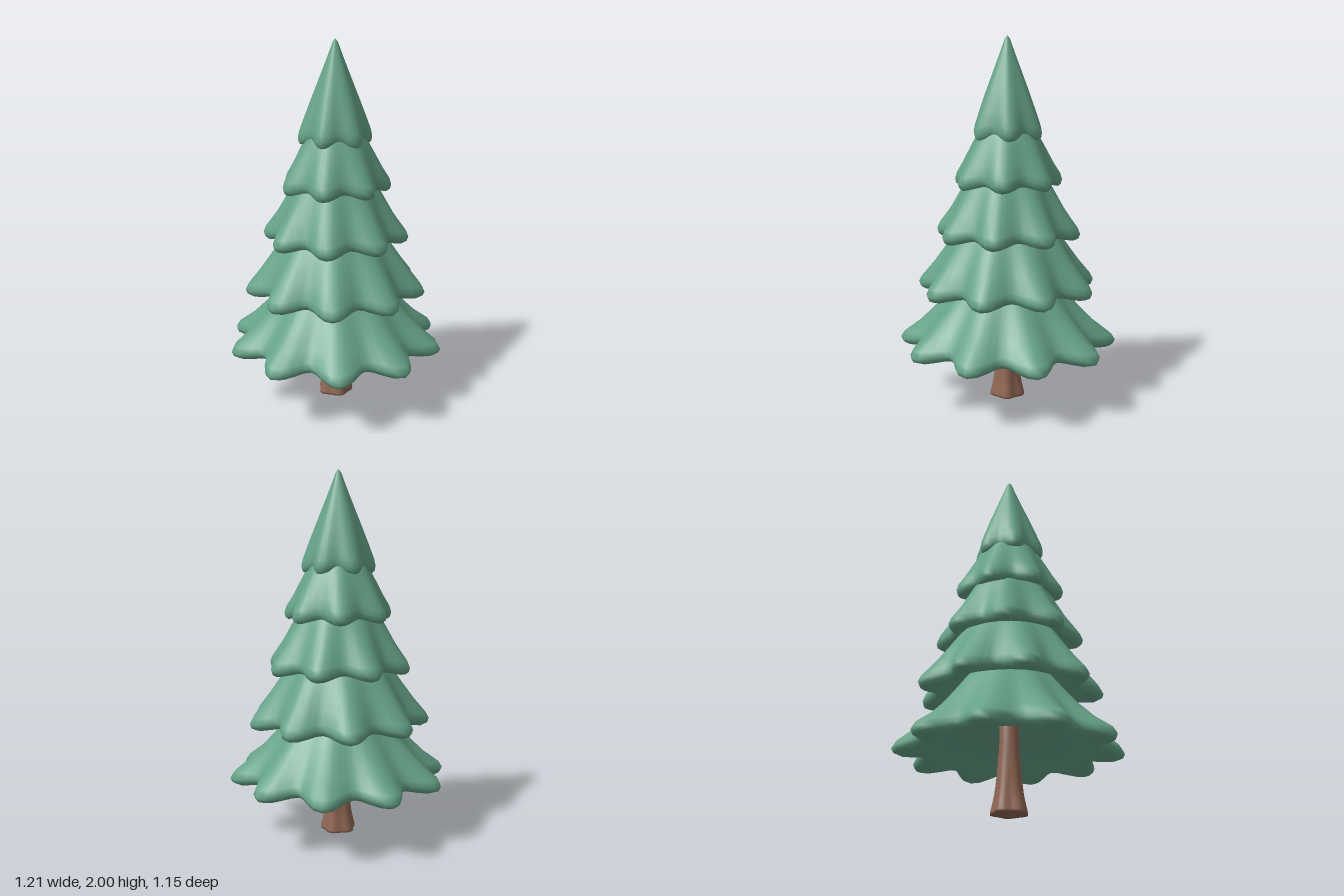
import * as THREE from 'three';
import { mergeVertices } from 'three/addons/utils/BufferGeometryUtils.js';

// Lathe whose radius swells into lobes; profile points are [ridge radius, y, lobe amplitude, tip drop]
function flutedLathe(profile, lobes, phase = 0) {
  const segments = lobes * 8;
  const lathe = new THREE.LatheGeometry(profile.map(([r, y]) => new THREE.Vector2(r, y)), segments);
  const pos = lathe.attributes.position;
  for (let i = 0; i < pos.count; i++) {
    const [, , amp, drop] = profile[i % profile.length];
    const x = pos.getX(i), z = pos.getZ(i);
    const wave = Math.cos(lobes * (Math.atan2(z, x) - phase));
    const k = (1 + amp * wave) / (1 + amp);
    pos.setXYZ(i, x * k, pos.getY(i) - drop * wave, z * k);
  }
  // Weld the seam so the shading is smooth all round
  lathe.deleteAttribute('uv');
  lathe.deleteAttribute('normal');
  const geometry = mergeVertices(lathe, 1e-5);
  geometry.computeVertexNormals();
  return geometry;
}

// Broad underside and rounded rim shared by every tier: [fraction of radius, height above rim, amplitude, drop]
const RIM = [
  [0.11, 0.12, 0, 0], [0.4, 0.085, 0.01, 0], [0.6, 0.04, 0.02, 0], [0.71, 0, 0.04, 0.004],
  [0.79, -0.022, 0.06, 0.009], [0.87, -0.03, 0.085, 0.012], [0.93, -0.03, 0.105, 0.014],
  [0.98, -0.018, 0.112, 0.014], [1, 0.004, 0.112, 0.012], [0.965, 0.036, 0.104, 0.009],
];

// Tiers from the ground up, each with its own upper slope as [ridge radius, y]
const TIERS = [
  { radius: 0.606, y: 0.335, lobes: 10, slope: [[0.49, 0.435], [0.39, 0.532], [0.315, 0.62], [0.22, 0.74], [0.05, 0.92]] },
  { radius: 0.503, y: 0.652, lobes: 9, slope: [[0.415, 0.765], [0.338, 0.868], [0.28, 0.95], [0.19, 1.07], [0.05, 1.22]] },
  { radius: 0.403, y: 0.952, lobes: 8, slope: [[0.32, 1.075], [0.26, 1.175], [0.215, 1.25], [0.15, 1.35], [0.04, 1.47]] },
  { radius: 0.304, y: 1.235, lobes: 7, slope: [[0.255, 1.325], [0.213, 1.4], [0.17, 1.475], [0.11, 1.58], [0.03, 1.7]] },
  { radius: 0.201, y: 1.495, lobes: 6, slope: [[0.166, 1.6], [0.126, 1.7], [0.085, 1.8], [0.043, 1.905], [0.014, 1.982], [0, 2]] },
];

export function createModel() {
  const tree = new THREE.Group();
  tree.name = 'pineTree';
  const needleGreen = new THREE.MeshStandardMaterial({ color: 0x66a388, side: THREE.DoubleSide });
  needleGreen.name = 'needleGreen';
  const barkBrown = new THREE.MeshStandardMaterial({ color: 0x8f6653 });
  barkBrown.name = 'barkBrown';

  // Trunk with a flared, lobed foot
  const trunk = new THREE.Mesh(flutedLathe([
    [0, 0, 0, 0], [0.099, 0, 0.08, 0], [0.1, 0.012, 0.08, 0], [0.09, 0.05, 0.09, 0], [0.077, 0.11, 0.07, 0],
    [0.067, 0.19, 0.05, 0], [0.059, 0.28, 0.03, 0], [0.053, 0.36, 0.02, 0], [0.047, 0.62, 0, 0], [0, 0.62, 0, 0],
  ], 5, Math.PI / 2), barkBrown);
  trunk.name = 'trunk';
  tree.add(trunk);

  // Overlapping skirts of foliage, with lobes that soften quickly toward the top
  TIERS.forEach(({ radius, y, lobes, slope }, i) => {
    const rim = RIM.map(([f, dy, amp, drop]) => [f * radius, y + dy, amp, drop]);
    const upper = slope.map(([r, h], j) => [r, h, 0.062 * (1 - j / slope.length) ** 2, 0.003 * Math.max(0, 1 - j / 2)]);
    const tier = new THREE.Mesh(flutedLathe([...rim, ...upper], lobes), needleGreen);
    tier.name = `foliageTier${i + 1}`;
    tree.add(tier);
  });
  return tree;
}
